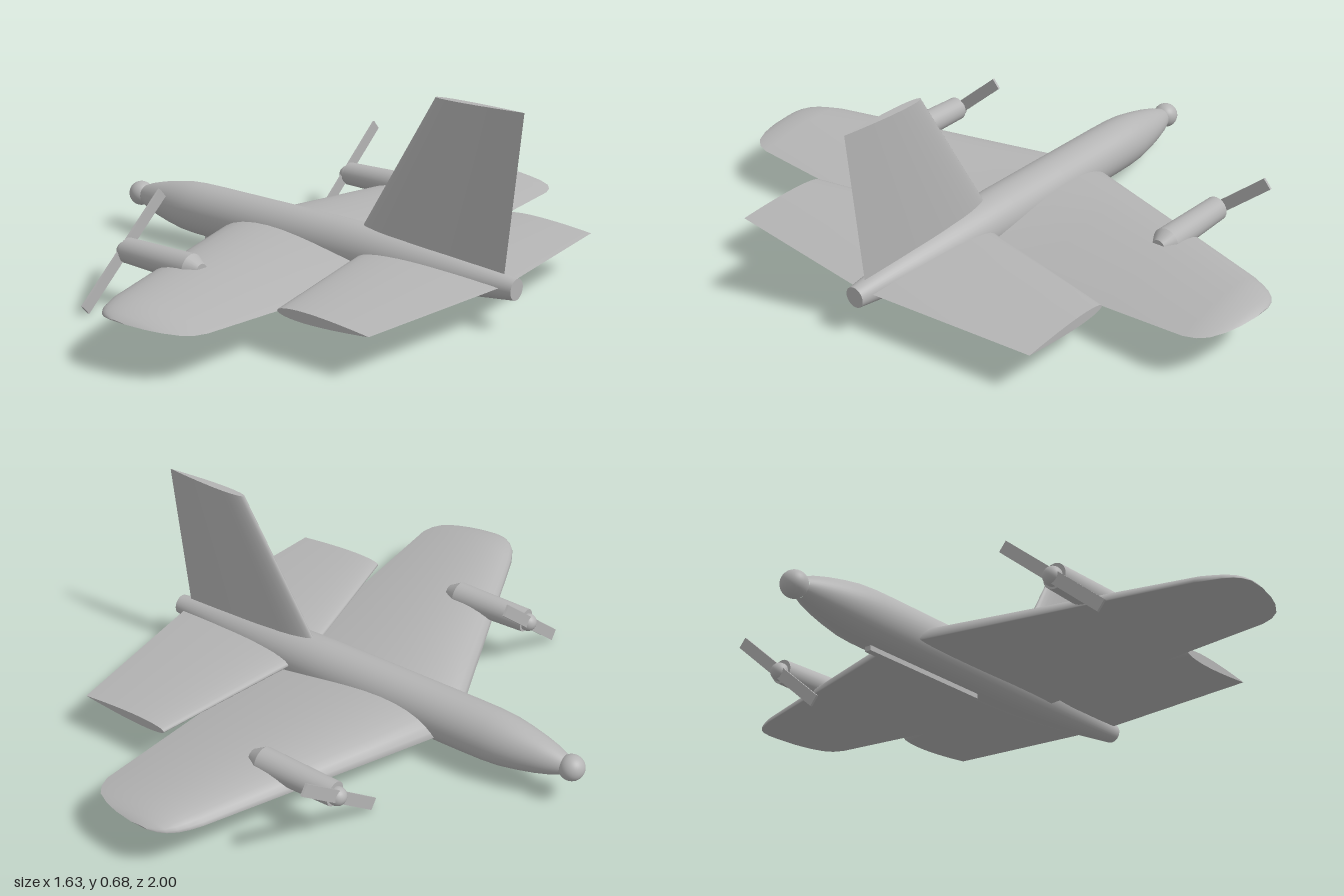
import * as THREE from 'three';

const grey = new THREE.MeshStandardMaterial({ color: 0xb4b4b4 });
grey.name = 'plainGrey';

function part(name, geometry, x = 0, y = 0, z = 0) {
  const mesh = new THREE.Mesh(geometry, grey);
  mesh.name = name;
  mesh.position.set(x, y, z);
  return mesh;
}

// Lofts an airfoil along z. Each section is [z, leadingX, trailingX, y, thicknessRatio];
// camber 0 is symmetric, 1 has a flat underside.
function airfoilLoft(sections, camber) {
  const steps = 16, loop = 2 * steps + 1;
  const pos = [], index = [];
  const half = u => 5 * (0.2969 * Math.sqrt(u) - 0.126 * u - 0.3516 * u * u + 0.2843 * u ** 3 - 0.1036 * u ** 4);
  const ring = ([z, x0, x1, y, t]) => {
    for (let i = 0; i < loop; i++) {
      const a = (i / (loop - 1)) * 2 * Math.PI;
      const u = (1 + Math.cos(a)) / 2;
      const side = i <= steps ? 1 + camber : camber - 1;
      pos.push(x0 + u * (x1 - x0), y + side * half(u) * t * (x1 - x0), z);
    }
  };
  sections.forEach(ring);
  for (let j = 0; j < sections.length - 1; j++) {
    for (let i = 0; i < loop - 1; i++) {
      const a = j * loop + i, c = a + loop;
      index.push(a, a + 1, c, a + 1, c + 1, c);
    }
  }
  // Flat end caps with their own vertices, so the edge stays sharp
  [sections[0], sections[sections.length - 1]].forEach((s, end) => {
    const base = pos.length / 3;
    ring(s);
    for (let i = 0; i < steps; i++) {
      const a = base + i, b = base + i + 1, c = base + loop - 1 - i, d = c - 1;
      if (end) index.push(a, b, c, b, d, c);
      else index.push(a, c, b, b, c, d);
    }
  });
  const g = new THREE.BufferGeometry();
  g.setAttribute('position', new THREE.Float32BufferAttribute(pos, 3));
  g.setIndex(index);
  g.computeVertexNormals();
  return g;
}

// Extends half-span sections to both sides
const bothSides = half => [
  ...half.slice(1).reverse().map(([z, ...rest]) => [-z, ...rest]),
  ...half,
];

function createFuselage() {
  const group = new THREE.Group();
  group.name = 'fuselage';
  const profile = [
    [0.034, -0.745], [0.048, -0.71], [0.062, -0.66], [0.075, -0.6], [0.085, -0.54], [0.089, -0.48],
    [0.09, -0.4], [0.09, -0.1], [0.09, 0.15], [0.087, 0.27], [0.079, 0.4], [0.063, 0.57], [0.034, 0.81],
  ].map(([r, x]) => new THREE.Vector2(r, x));
  const body = new THREE.LatheGeometry(profile, 40).rotateZ(-Math.PI / 2);
  group.add(part('body', body, 0, 0.137, 0));
  group.add(part('tailCap', new THREE.CircleGeometry(0.034, 40).rotateY(Math.PI / 2), 0.81, 0.137, 0));
  group.add(part('noseBall', new THREE.SphereGeometry(0.043, 32, 20), -0.772, 0.137, 0));
  group.add(part('bellyRail', new THREE.BoxGeometry(0.505, 0.03, 0.022), -0.203, 0.047, 0));
  return group;
}

function createEngine(z, name) {
  const group = new THREE.Group();
  group.name = name;
  const along = (rFront, rBack, length) =>
    new THREE.CylinderGeometry(rBack, rFront, length, 28).rotateZ(-Math.PI / 2);
  group.add(part('nacelle', along(0.041, 0.047, 0.275), -0.1325, 0.004, 0));
  group.add(part('nacelleTail', along(0.047, 0.024, 0.04), 0.025, 0.004, 0));
  group.add(part('spinner', new THREE.SphereGeometry(0.031, 24, 16), -0.278, 0, 0));
  // One straight two-bladed propeller, top end leaning toward -z
  const propeller = part('propeller', new THREE.BoxGeometry(0.008, 0.46, 0.04), -0.287, 0, 0);
  propeller.rotation.x = -0.863;
  group.add(propeller);
  group.position.set(0, 0.172, z);
  return group;
}

export function createModel() {
  const model = new THREE.Group();
  model.name = 'twinEngineAirplane';
  model.add(createFuselage());

  // Main wing with slight dihedral and rounded tips
  const wing = bothSides([
    [0, -0.343, 0.365, 0.092, 0.12], [0.3, -0.233, 0.365, 0.112, 0.12], [0.6, -0.123, 0.365, 0.133, 0.12],
    [0.88, -0.02, 0.365, 0.152, 0.115], [0.92, 0, 0.352, 0.154, 0.11], [0.95, 0.018, 0.328, 0.157, 0.1],
    [0.975, 0.042, 0.28, 0.16, 0.09], [0.99, 0.066, 0.228, 0.162, 0.08], [1, 0.1, 0.16, 0.164, 0.06],
  ]);
  model.add(part('mainWing', airfoilLoft(wing, 0.85)));

  // Tapered tailplane with square tips
  const tail = bothSides([[0, 0.251, 0.774, 0.143, 0.1], [0.6, 0.378, 0.712, 0.143, 0.1]]);
  model.add(part('tailplane', airfoilLoft(tail, 0)));

  // Swept upright fin
  const fin = airfoilLoft([[0.14, 0.18, 0.761, 0, 0.09], [0.684, 0.499, 0.815, 0, 0.09]], 0);
  model.add(part('tailFin', fin.rotateX(-Math.PI / 2)));

  model.add(createEngine(0.562, 'leftEngine'));
  model.add(createEngine(-0.562, 'rightEngine'));
  return model;
}
